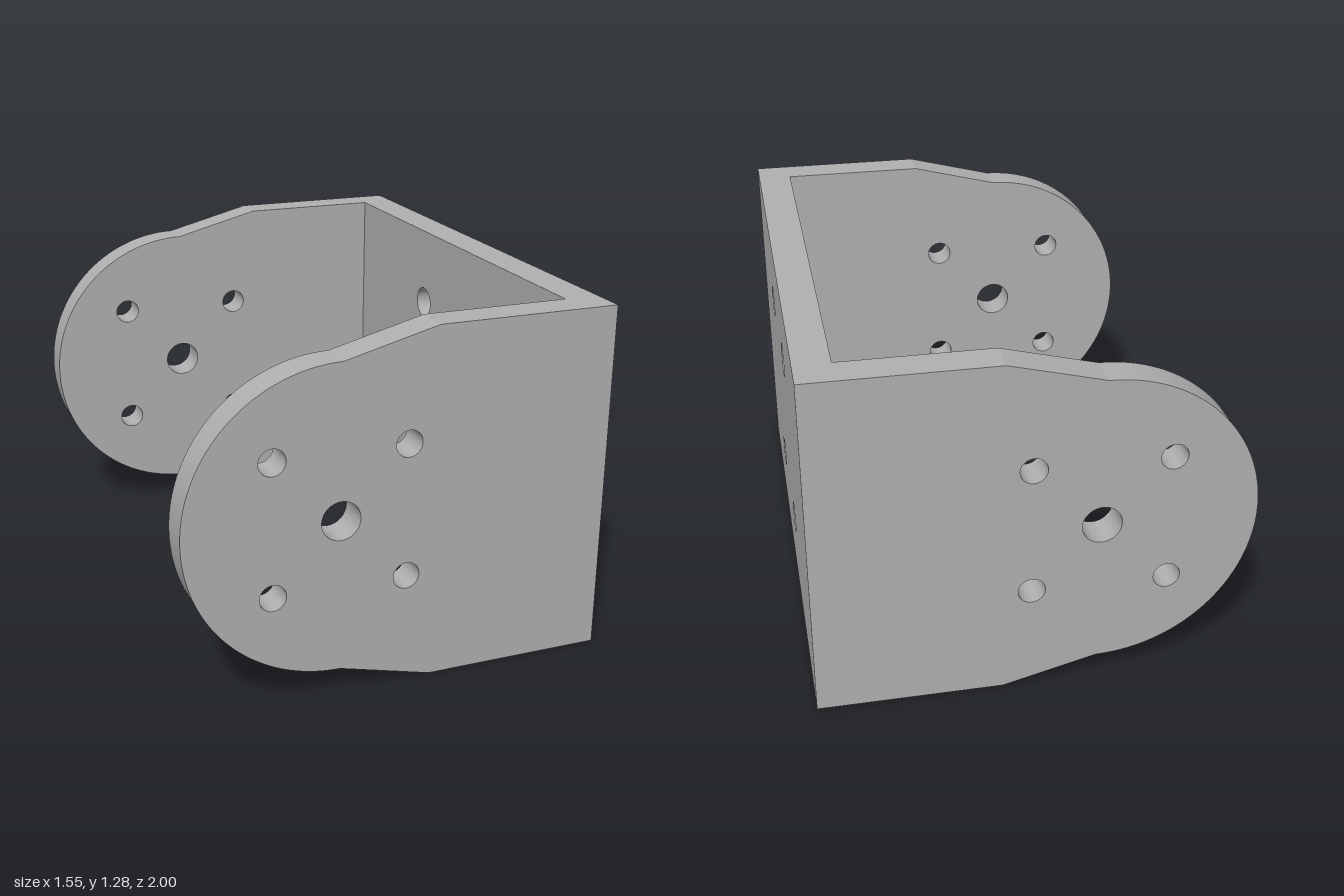
import * as THREE from 'three';
import { toCreasedNormals } from 'three/addons/utils/BufferGeometryUtils.js';

const HEIGHT = 1.28, MID = HEIGHT / 2, RIGHT = 0.777, THICK = 0.128;

// Cut round holes [x, y, radius] into a shape and extrude it with crisp edges
function plate(shape, holes) {
  for (const [x, y, r] of holes) {
    shape.holes.push(new THREE.Path().absarc(x, y, r, 0, Math.PI * 2, true));
  }
  const geometry = new THREE.ExtrudeGeometry(shape, { depth: THICK, bevelEnabled: false, curveSegments: 48 });
  return toCreasedNormals(geometry, 0.2);
}

export function createModel() {
  const model = new THREE.Group();
  model.name = 'mountingBracket';
  const metal = new THREE.MeshStandardMaterial({ color: 0xb0b0b0 });
  metal.name = 'grey metal';

  // Side cheeks: round nose, tapering shoulders, square end at the web
  const cx = -0.224, noseRadius = 0.553, webX = RIGHT - THICK;
  const outline = new THREE.Shape();
  outline.moveTo(webX, 0);
  outline.lineTo(webX, HEIGHT);
  outline.lineTo(0.115, HEIGHT);
  outline.lineTo(cx, MID + noseRadius);
  outline.absarc(cx, MID, noseRadius, Math.PI / 2, Math.PI * 1.5, false);
  outline.lineTo(0.115, 0);
  outline.closePath();

  // Pivot hole with four bolt holes around it
  const cheekHoles = [[cx, MID, 0.07]];
  for (const sx of [-1, 1]) for (const sy of [-1, 1]) {
    cheekHoles.push([cx + sx * 0.241, MID + sy * 0.241, 0.048]);
  }
  const cheekGeometry = plate(outline, cheekHoles);
  for (const [name, z] of [['frontCheek', 1 - THICK], ['backCheek', -1]]) {
    const cheek = new THREE.Mesh(cheekGeometry, metal);
    cheek.name = name;
    cheek.position.z = z;
    model.add(cheek);
  }

  // Web joining the cheeks, drawn with -z along the shape's x axis
  const web = new THREE.Shape();
  web.moveTo(-1, 0);
  web.lineTo(1, 0);
  web.lineTo(1, HEIGHT);
  web.lineTo(-1, HEIGHT);
  web.closePath();
  const webHoles = [];
  for (const z of [0.277, -0.235]) for (const sy of [-1, 1]) {
    webHoles.push([-z, MID + sy * 0.341, 0.061]);
  }
  const webMesh = new THREE.Mesh(plate(web, webHoles), metal);
  webMesh.name = 'web';
  webMesh.rotation.y = Math.PI / 2;
  webMesh.position.x = webX;
  model.add(webMesh);

  return model;
}
